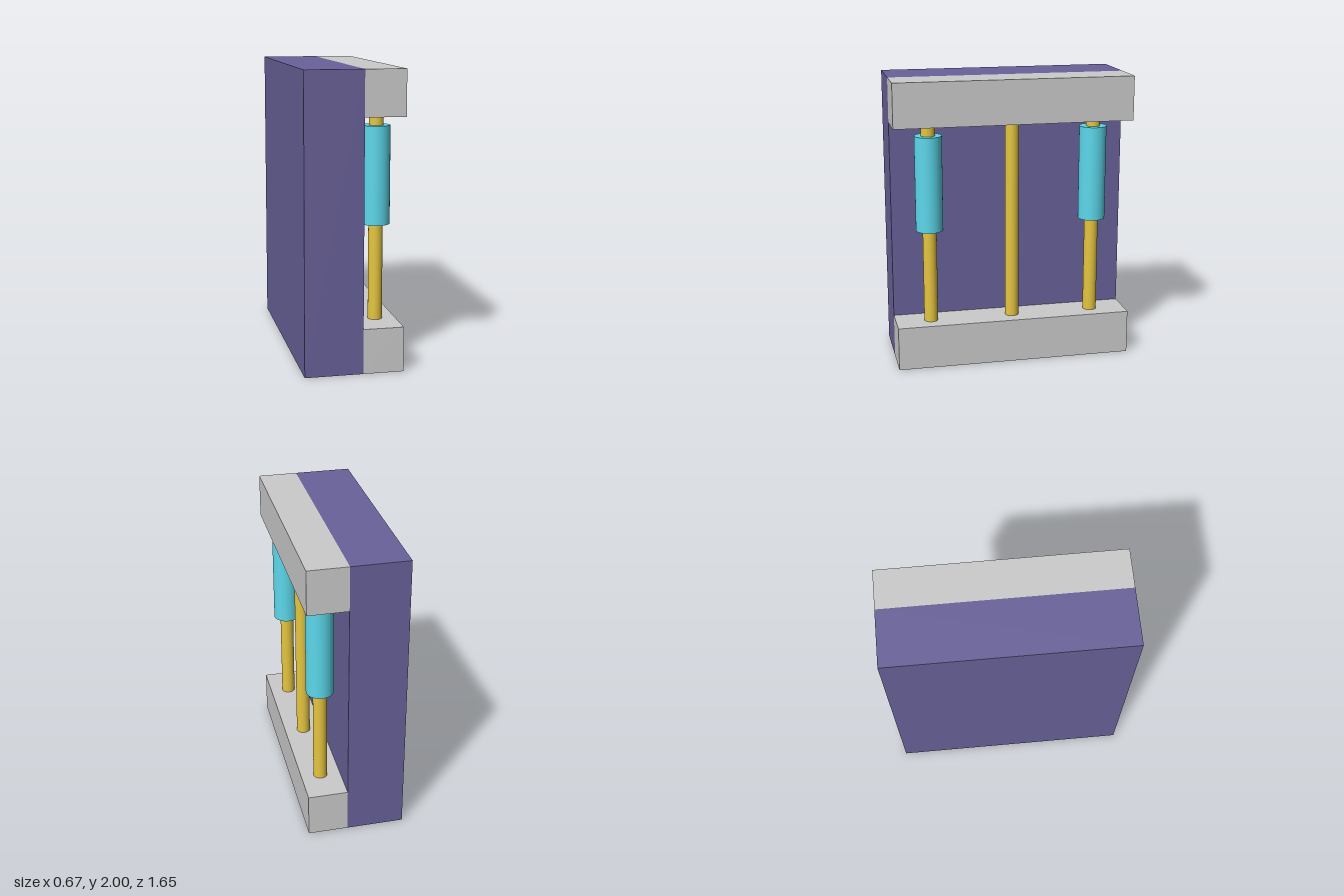
import * as THREE from 'three';

const grey = new THREE.MeshStandardMaterial({ color: 0xcccccc });
const purple = new THREE.MeshStandardMaterial({ color: 0x69629a });
const yellow = new THREE.MeshStandardMaterial({ color: 0xe6c640 });
const cyan = new THREE.MeshStandardMaterial({ color: 0x5cd8eb });

const DEPTH = 1.65;
const ROD_X = 0.197;
const BLOCK_H = 0.305;

export function createModel() {
  const model = new THREE.Group();

  const add = (name, geometry, material, x, y, z) => {
    const mesh = new THREE.Mesh(geometry, material);
    mesh.name = name;
    mesh.position.set(x, y, z);
    model.add(mesh);
  };
  const box = (name, material, x0, x1, y0, y1) =>
    add(name, new THREE.BoxGeometry(x1 - x0, y1 - y0, DEPTH), material, (x0 + x1) / 2, (y0 + y1) / 2, 0);
  const cylinder = (name, material, r, y0, y1, z) =>
    add(name, new THREE.CylinderGeometry(r, r, y1 - y0, 48), material, ROD_X, (y0 + y1) / 2, z);

  // Back plate with a block along its foot and head
  box('backPlate', purple, -0.333, 0.06, 0, 2);
  box('lowerBlock', grey, 0.06, 0.333, 0, BLOCK_H);
  box('upperBlock', grey, 0.06, 0.333, 2 - BLOCK_H, 2);

  // Three rods between the blocks
  [['frontRod', 0.577], ['middleRod', -0.002], ['backRod', -0.578]].forEach(([name, z]) =>
    cylinder(name, yellow, 0.048, BLOCK_H, 2 - BLOCK_H, z));

  // Sleeves on the outer rods, at slightly different heights
  cylinder('frontSleeve', cyan, 0.094, 0.96, 1.62, 0.577);
  cylinder('backSleeve', cyan, 0.094, 0.985, 1.645, -0.578);

  return model;
}
